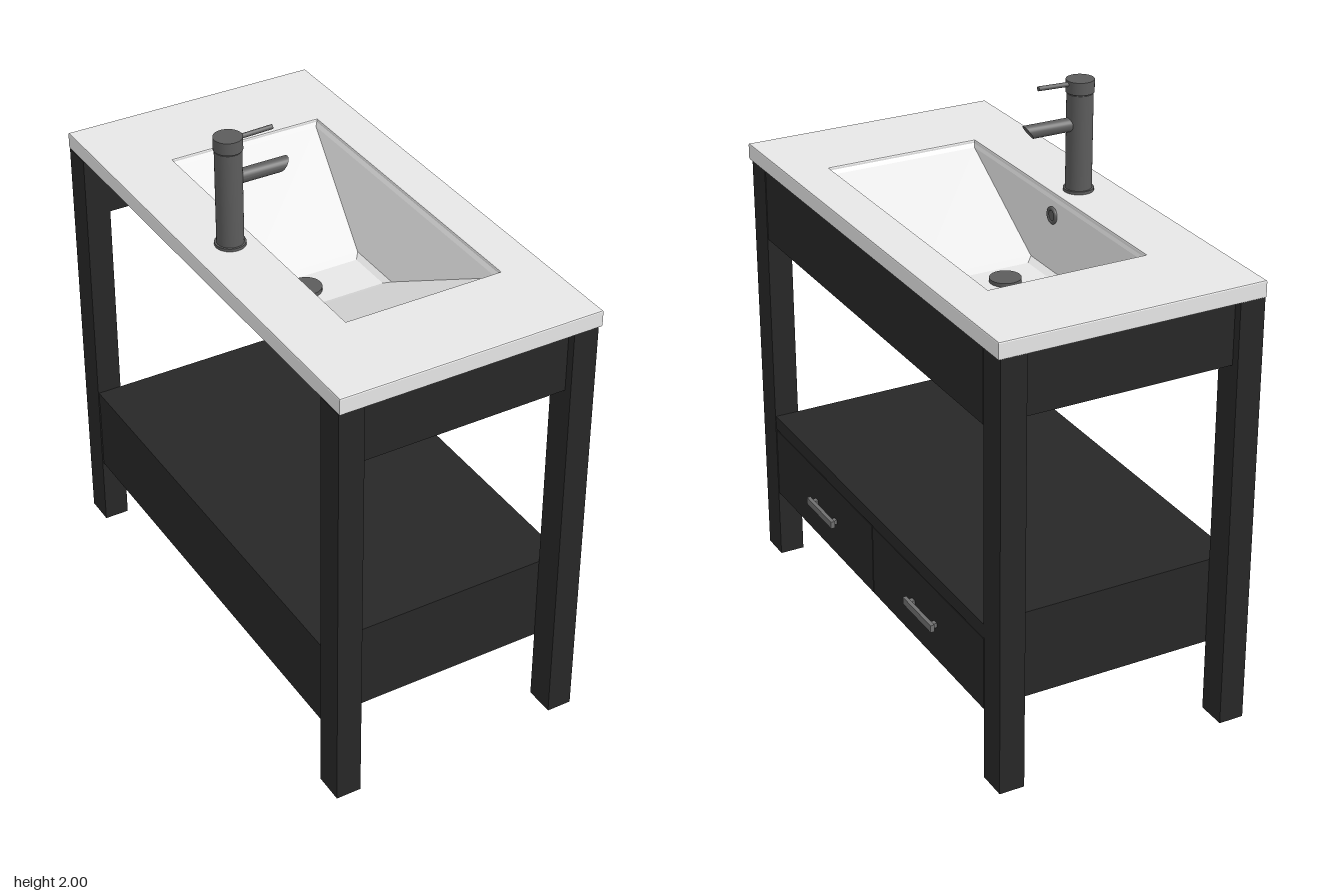
import * as THREE from 'three';

const mat = (name, color, extra = {}) => new THREE.MeshStandardMaterial({ name, color, ...extra });

export function createModel() {
  const wood = mat('blackWood', 0x272727);
  const ceramic = mat('whiteCeramic', 0xf0f0f0);
  const metal = mat('darkMetal', 0x5c5c5c);
  const handleMetal = mat('greyHandle', 0x707070);
  const model = new THREE.Group();
  model.name = 'washstand';

  const add = (name, geometry, material, parent = model) => {
    const mesh = new THREE.Mesh(geometry, material);
    mesh.name = name;
    parent.add(mesh);
    return mesh;
  };
  // Box given by its limits on each axis
  const box = (name, [x0, x1], [y0, y1], [z0, z1], material, parent) => {
    const g = new THREE.BoxGeometry(x1 - x0, y1 - y0, z1 - z0);
    g.translate((x0 + x1) / 2, (y0 + y1) / 2, (z0 + z1) / 2);
    return add(name, g, material, parent);
  };
  // Upright cylinder between two heights
  const post = (name, r, y0, y1, x, z, material, parent, sides = 32) => {
    const g = new THREE.CylinderGeometry(r, r, y1 - y0, sides);
    g.translate(x, (y0 + y1) / 2, z);
    return add(name, g, material, parent);
  };

  // Frame: legs, end aprons and front apron
  const frame = new THREE.Group();
  frame.name = 'frame';
  model.add(frame);
  for (const s of [-1, 1]) {
    const span = (a, b) => (s > 0 ? [a, b] : [-b, -a]);
    for (const x of [[-0.48, -0.39], [0.36, 0.45]]) {
      box('leg', x, [0, 1.55], span(0.808, 0.915), wood, frame);
    }
    box('endApron', [-0.39, 0.36], [1.325, 1.55], span(0.81, 0.885), wood, frame);
  }
  box('frontApron', [0.36, 0.449], [1.285, 1.55], [-0.804, 0.804], wood, frame);

  // Lower cabinet with shelf and two drawers
  const cabinet = new THREE.Group();
  cabinet.name = 'drawerCabinet';
  model.add(cabinet);
  box('shelf', [-0.478, 0.449], [0.528, 0.58], [-0.806, 0.806], wood, cabinet);
  box('cabinetBody', [-0.477, 0.43], [0.262, 0.528], [-0.805, 0.805], wood, cabinet);
  for (const s of [-1, 1]) {
    const zs = [0.002 * s, 0.804 * s].sort((a, b) => a - b);
    box('drawerFront', [0.43, 0.449], [0.262, 0.525], zs, wood, cabinet);
    const c = s > 0 ? 0.38 : -0.39;
    box('handleBar', [0.464, 0.478], [0.382, 0.408], [c - 0.102, c + 0.102], handleMetal, cabinet);
    for (const d of [-0.08, 0.08]) {
      box('handlePost', [0.448, 0.466], [0.387, 0.403], [c + d - 0.01, c + d + 0.01], handleMetal, cabinet);
    }
  }

  // Countertop slab with a basin opening and softened edges
  const rect = (P, x0, x1, z) => {
    const p = new P();
    p.moveTo(x0, -z); p.lineTo(x1, -z); p.lineTo(x1, z); p.lineTo(x0, z); p.closePath();
    return p;
  };
  const bevel = 0.005;
  const slab = rect(THREE.Shape, -0.48 + bevel, 0.46 - bevel, 0.92 - bevel);
  slab.holes.push(rect(THREE.Path, -0.255 - bevel, 0.31 + bevel, 0.575 + bevel));
  const slabGeo = new THREE.ExtrudeGeometry(slab, {
    depth: 0.06 - 2 * bevel, bevelEnabled: true, bevelSize: bevel, bevelThickness: bevel, bevelSegments: 2,
  });
  slabGeo.rotateX(-Math.PI / 2);
  slabGeo.translate(0, 1.55 + bevel, 0);
  add('countertop', slabGeo, ceramic);

  // Basin shell: rectangular loops [x0, x1, half depth, y] from rim to floor
  const basinShell = (loops, outward) => {
    const pos = [];
    const rings = loops.map(([x0, x1, z, y]) => [[x0, y, z], [x1, y, z], [x1, y, -z], [x0, y, -z]]);
    const quad = (a, b, c, d) => {
      const q = outward ? [a, c, b, a, d, c] : [a, b, c, a, c, d];
      q.forEach((v) => pos.push(...v));
    };
    for (let k = 0; k + 1 < rings.length; k++) {
      const [a, b] = [rings[k], rings[k + 1]];
      for (let i = 0; i < 4; i++) {
        const j = (i + 1) % 4;
        quad(a[i], a[j], b[j], b[i]);
      }
    }
    quad(...rings[rings.length - 1]);
    const g = new THREE.BufferGeometry();
    g.setAttribute('position', new THREE.Float32BufferAttribute(pos, 3));
    g.computeVertexNormals();
    return g;
  };
  add('basinInside', basinShell([
    [-0.258, 0.313, 0.578, 1.604], [-0.25, 0.302, 0.567, 1.585],
    [-0.225, 0.2, 0.11, 1.35], [-0.2, 0.18, 0.085, 1.338],
  ], false), ceramic);
  add('basinUnderside', basinShell([
    [-0.285, 0.34, 0.61, 1.552], [-0.245, 0.225, 0.14, 1.335], [-0.2, 0.2, 0.11, 1.32],
  ], true), ceramic);

  // Drain and overflow ring
  post('drainCap', 0.055, 1.335, 1.352, -0.06, -0.01, metal);
  post('drainPipe', 0.034, 1.29, 1.335, -0.06, -0.01, metal);
  const ring = add('overflowRing', new THREE.TorusGeometry(0.024, 0.007, 10, 28), metal);
  ring.rotation.y = Math.PI / 2;
  ring.position.set(-0.243, 1.535, 0);
  const plug = add('overflowInset', new THREE.CylinderGeometry(0.02, 0.02, 0.008, 24), metal);
  plug.rotation.z = Math.PI / 2;
  plug.position.set(-0.244, 1.535, 0);

  // Tap: body, cap, slanted spout and lever
  const tap = new THREE.Group();
  tap.name = 'tap';
  model.add(tap);
  const tx = -0.343;
  post('tapBase', 0.052, 1.608, 1.62, tx, 0, metal, tap);
  post('tapBody', 0.045, 1.62, 1.953, tx, 0, metal, tap);
  post('tapCap', 0.048, 1.957, 2.0, tx, 0, metal, tap);
  post('tapNeck', 0.042, 1.95, 1.96, tx, 0, metal, tap);
  const spout = new THREE.CylinderGeometry(0.024, 0.024, 0.18, 24);
  spout.rotateZ(-Math.PI / 2);
  const p = spout.attributes.position;
  for (let i = 0; i < p.count; i++) {
    if (p.getX(i) > 0) p.setX(i, p.getX(i) + p.getY(i) * 0.7);
  }
  spout.computeVertexNormals();
  spout.translate(-0.238, 1.847, 0);
  add('tapSpout', spout, metal, tap);
  const lever = new THREE.CylinderGeometry(0.008, 0.008, 0.13, 14);
  lever.rotateZ(-Math.PI / 2 + 0.03);
  lever.translate(-0.25, 1.989, 0);
  add('tapLever', lever, metal, tap);

  return model;
}
